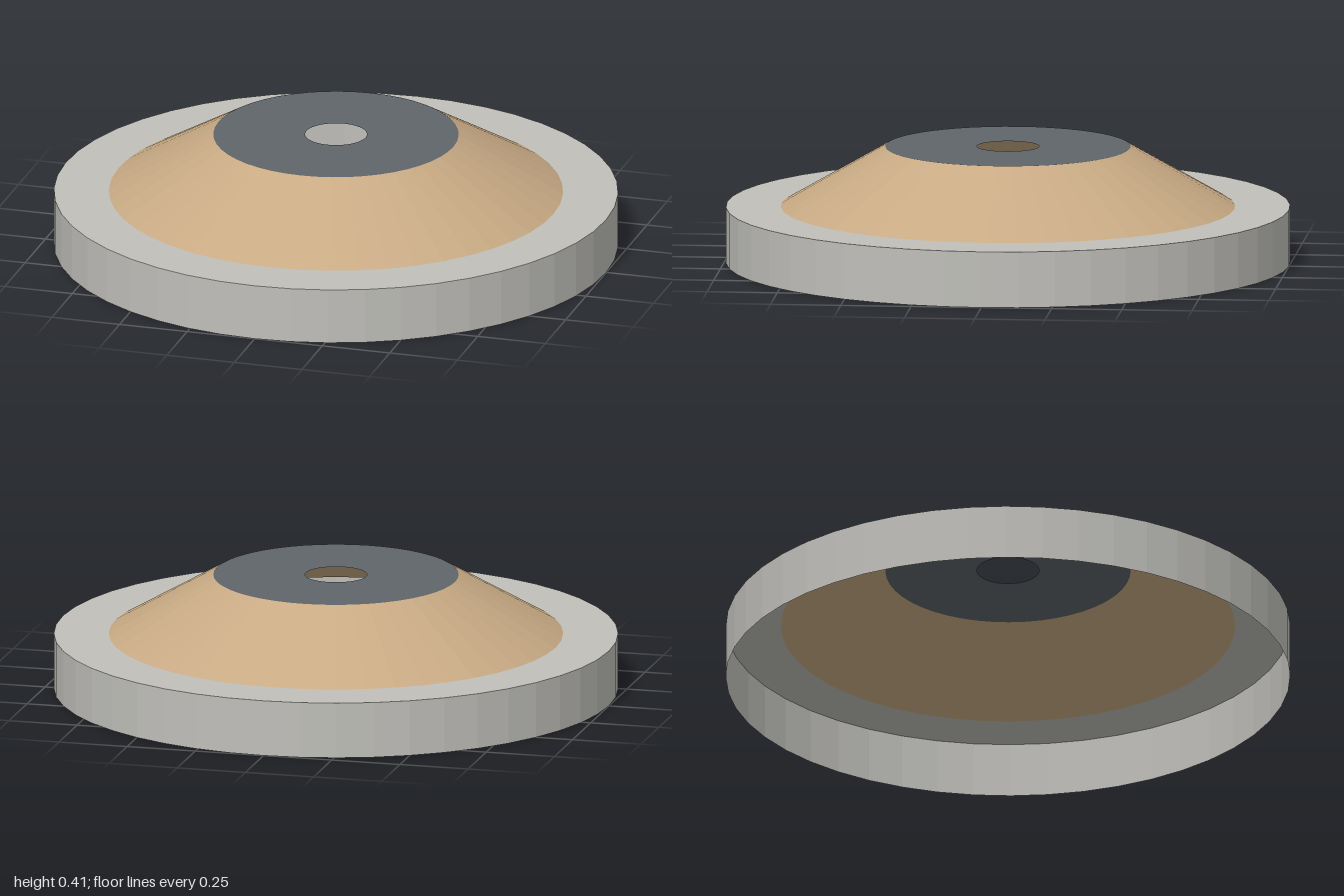
import * as THREE from 'three';

const SIDES = 48;

function flatMaterial(name, color) {
  const material = new THREE.MeshStandardMaterial({ color, flatShading: true, side: THREE.DoubleSide });
  material.name = name;
  return material;
}

// Thin surface of revolution; profile points are [radius, height]
function shell(name, profile, material) {
  const points = profile.map(([r, y]) => new THREE.Vector2(r, y));
  const geometry = new THREE.LatheGeometry(points, SIDES).toNonIndexed();
  geometry.computeVertexNormals();
  const mesh = new THREE.Mesh(geometry, material);
  mesh.name = name;
  return mesh;
}

export function createModel() {
  const grey = flatMaterial('light grey', 0xc0bfba);
  const tan = flatMaterial('tan', 0xc8aa84);
  const slate = flatMaterial('slate', 0x60666a);

  const model = new THREE.Group();
  model.name = 'steppedDisc';
  model.add(
    // Outer wall, open underneath, with a flat rim on top
    shell('outerWall', [[1, 0], [1, 0.2]], grey),
    shell('rim', [[1, 0.2], [0.805, 0.2]], grey),
    // Sloping hollow cone
    shell('cone', [[0.805, 0.2], [0.435, 0.415]], tan),
    // Flat top with a round hole through it
    shell('topPlate', [[0.435, 0.415], [0.11, 0.415]], slate),
  );
  return model;
}
